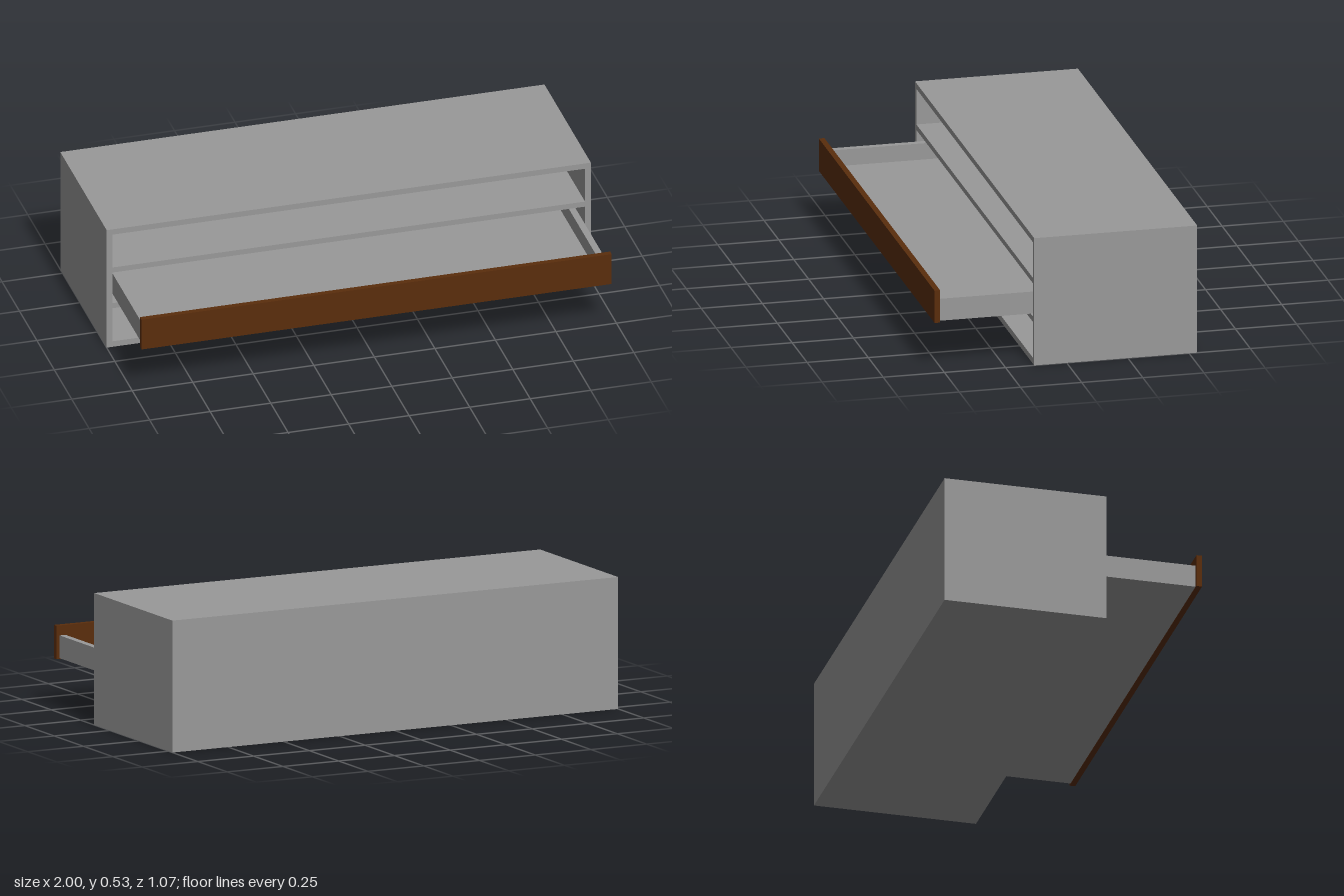
import * as THREE from 'three';

export function createModel() {
  const model = new THREE.Group();
  model.name = 'drawerCabinet';
  const grey = new THREE.MeshStandardMaterial({ name: 'grey board', color: 0x999999 });
  const brown = new THREE.MeshStandardMaterial({ name: 'brown wood', color: 0x5a2d0c });

  // Board given by its lower and upper corners
  function board(parent, name, material, [x0, y0, z0], [x1, y1, z1]) {
    const mesh = new THREE.Mesh(new THREE.BoxGeometry(x1 - x0, y1 - y0, z1 - z0), material);
    mesh.position.set((x0 + x1) / 2, (y0 + y1) / 2, (z0 + z1) / 2);
    mesh.name = name;
    parent.add(mesh);
  }

  // Cabinet carcass: one front frame with three bays, closed by a back panel
  const W = 1, H = 0.533, back = -0.533, front = 0.133, t = 0.024;
  const cabinet = new THREE.Group();
  cabinet.name = 'cabinet';
  const frame = new THREE.Shape([[-W, 0], [W, 0], [W, H], [-W, H]].map(p => new THREE.Vector2(...p)));
  const bayX = W - t;
  for (const [y0, y1] of [[0.025, 0.175], [0.198, 0.337], [0.36, 0.509]]) {
    frame.holes.push(new THREE.Path(
      [[-bayX, y0], [-bayX, y1], [bayX, y1], [bayX, y0]].map(p => new THREE.Vector2(...p))));
  }
  const carcass = new THREE.Mesh(
    new THREE.ExtrudeGeometry(frame, { depth: front - back - t, bevelEnabled: false }), grey);
  carcass.position.z = back + t;
  carcass.name = 'carcass';
  cabinet.add(carcass);
  board(cabinet, 'backPanel', grey, [-W, 0, back], [W, H, back + t]);
  model.add(cabinet);

  // Middle drawer, pulled out
  const drawer = new THREE.Group();
  drawer.name = 'drawer';
  const outer = 0.957, inner = 0.93, y0 = 0.203, y1 = 0.295, zBack = -0.11, zFront = 0.51;
  board(drawer, 'drawerFloor', grey, [-inner, y0, zBack], [inner, y0 + t, zFront]);
  board(drawer, 'drawerLeftSide', grey, [inner, y0, zBack], [outer, y1, zFront]);
  board(drawer, 'drawerRightSide', grey, [-outer, y0, zBack], [-inner, y1, zFront]);
  board(drawer, 'drawerBack', grey, [-inner, y0 + t, zBack], [inner, y1, zBack + t]);
  board(drawer, 'drawerFront', brown, [-0.971, 0.2, zFront], [0.971, 0.335, 0.533]);
  model.add(drawer);

  return model;
}
